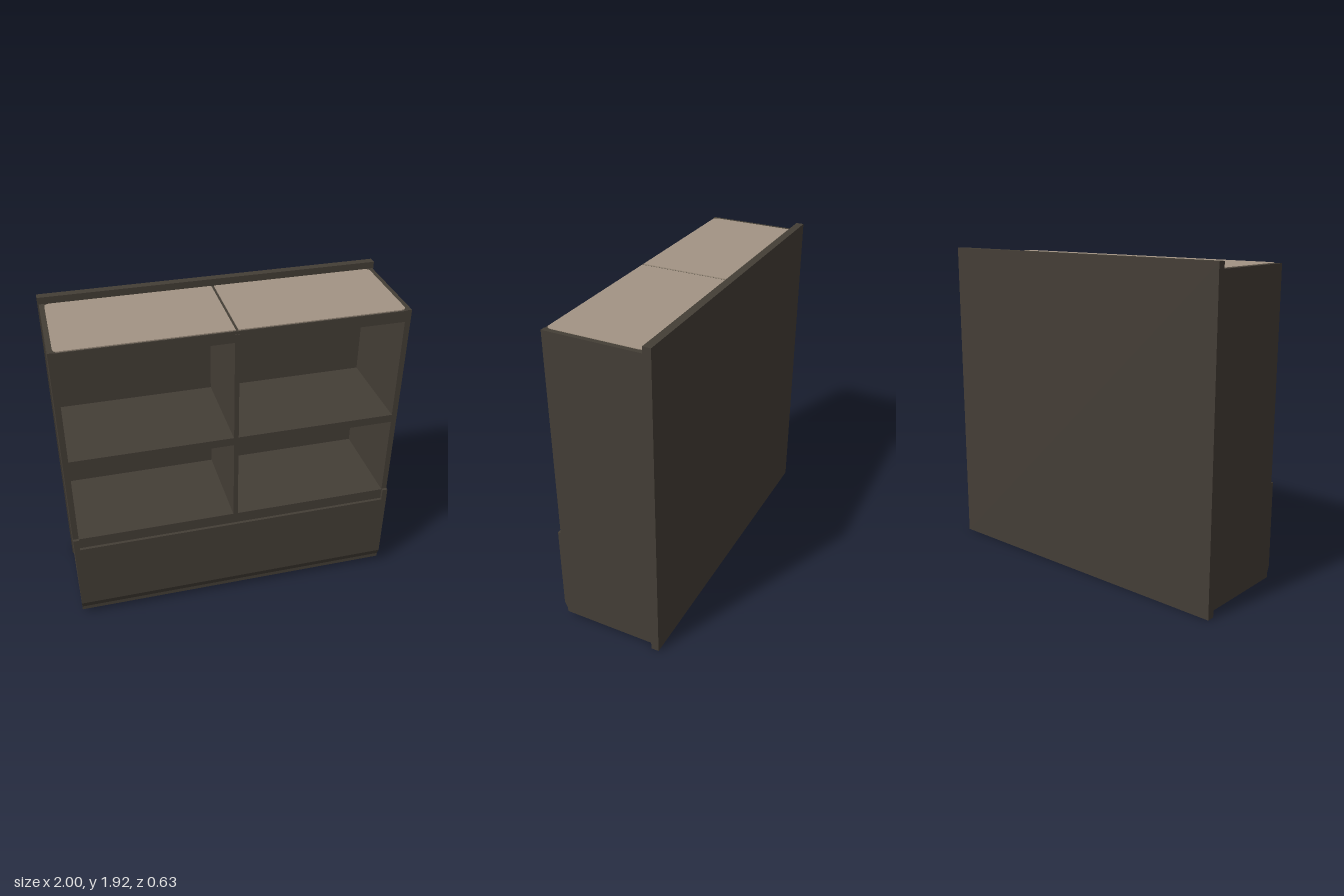
import * as THREE from 'three';

export function createModel() {
  const group = new THREE.Group();
  const wood = new THREE.MeshStandardMaterial({ color: 0x443e36 });
  wood.name = 'dark wood';
  const beige = new THREE.MeshStandardMaterial({ color: 0xa39484 });
  beige.name = 'beige top';

  const add = (name, geometry, material = wood) => {
    const mesh = new THREE.Mesh(geometry, material);
    mesh.name = name;
    group.add(mesh);
    return mesh;
  };
  // Box given by its lower and upper limits on each axis
  const box = (name, x0, x1, y0, y1, z0, z1) => {
    const mesh = add(name, new THREE.BoxGeometry(x1 - x0, y1 - y0, z1 - z0));
    mesh.position.set((x0 + x1) / 2, (y0 + y1) / 2, (z0 + z1) / 2);
    return mesh;
  };

  const BACK = -0.27, FRONT = 0.3, BOTTOM = 0.035, TOP = 1.88;

  // Back board, standing past the body above and below
  box('backBoard', -1, 1, 0, 1.92, -0.317, BACK);

  // Side walls with slightly proud stiles beside the lowest shelf
  for (const s of [-1, 1]) {
    const [a, b] = s < 0 ? [-0.993, -0.96] : [0.96, 0.993];
    box('sideWall', a, b, BOTTOM, TOP, BACK, FRONT);
    box('lowerStile', a, b, 0.55, 0.625, FRONT, 0.318);
  }

  // Horizontal boards: closed base, middle shelf, top
  box('base', -0.96, 0.96, BOTTOM, 0.62, BACK, FRONT);
  box('middleShelf', -0.96, 0.96, 1.14, 1.19, BACK, FRONT);
  box('topBoard', -0.96, 0.96, 1.81, TOP - 0.003, BACK, FRONT);

  // Centre divider, its lower end overlapping the base
  box('centreDivider', -0.015, 0.012, 0.56, 1.86, BACK, 0.304);

  // Lower front panel with a chamfered foot
  const profile = new THREE.Shape();
  profile.moveTo(-FRONT, 0.06);
  profile.lineTo(-0.318, 0.105);
  profile.lineTo(-0.318, 0.55);
  profile.lineTo(-FRONT, 0.55);
  profile.closePath();
  const panel = new THREE.ExtrudeGeometry(profile, { depth: 1.986, bevelEnabled: false });
  panel.rotateY(Math.PI / 2);
  panel.translate(-0.993, 0, 0);
  add('lowerFrontPanel', panel);

  // Two thin beige inlays on top, rounded at the outer corners
  for (const s of [-1, 1]) {
    const x0 = 0.008, x1 = 0.965, z0 = -0.262, z1 = 0.292, r = 0.035;
    const shape = new THREE.Shape();
    shape.moveTo(s * x0, -z1);
    shape.lineTo(s * (x1 - r), -z1);
    shape.quadraticCurveTo(s * x1, -z1, s * x1, -z1 + r);
    shape.lineTo(s * x1, -z0 - r);
    shape.quadraticCurveTo(s * x1, -z0, s * (x1 - r), -z0);
    shape.lineTo(s * x0, -z0);
    shape.closePath();
    const inlay = new THREE.ExtrudeGeometry(shape, { depth: 0.006, bevelEnabled: false, curveSegments: 6 });
    inlay.rotateX(-Math.PI / 2);
    add('topInlay', inlay, beige).position.y = TOP - 0.003;
  }
  return group;
}
